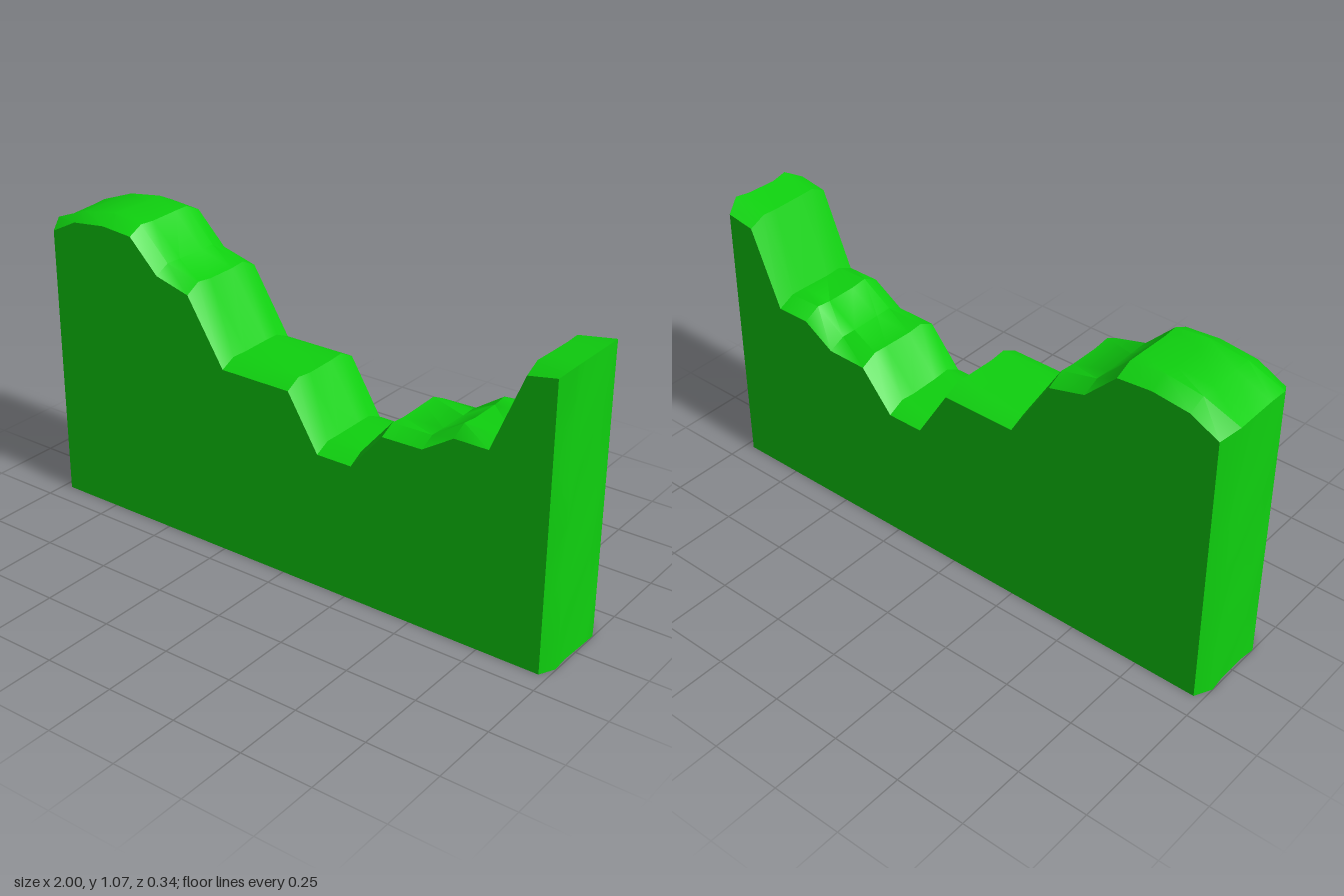
import * as THREE from 'three';
import { toCreasedNormals } from 'three/addons/utils/BufferGeometryUtils.js';

const HALF_DEPTH = 0.17;

// Hedge outline on the flat faces: left side, clipped top, right side
const top = [
  [-0.97, 0.98], [-0.87, 1.03], [-0.74, 1.045], [-0.62, 1.035], [-0.51, 0.925], [-0.38, 0.89],
  [-0.24, 0.667], [-0.1, 0.667], [0.025, 0.667], [0.14, 0.48], [0.27, 0.48], [0.385, 0.617],
  [0.53, 0.62], [0.64, 0.69], [0.76, 0.69], [0.87, 0.957], [0.97, 0.975],
];
const steps = [0, 1, 2, 3, 4, 5];
const outline = [
  ...steps.map((k) => ({ x: -0.97, y: k * 0.98 / 6, dx: -1, dy: 0 })),
  ...top.map(([x, y]) => ({ x, y, dx: Math.abs(x) > 0.96 ? Math.sign(x) : 0, dy: 1 })),
  ...steps.map((k) => ({ x: 0.97, y: (5 - k) * 0.975 / 6, dx: 1, dy: 0 })),
];

// Cross-sections through the depth: z and how far the foliage bulges
const sections = [[HALF_DEPTH, 0], [0.115, 0.03], [0.055, 0.026], [-0.055, 0.027], [-0.11, 0.03], [-HALF_DEPTH, 0]];

function point(i, j) {
  const p = outline[i];
  const [z, bulge] = sections[j];
  const b = bulge * (0.93 + 0.07 * Math.sin(i * 2.3 + j * 1.9));
  return [p.x + p.dx * b, p.y + p.dy * b, z];
}

function shellGeometry() {
  const positions = [], indices = [], n = sections.length;
  for (let i = 0; i < outline.length; i++) {
    for (let j = 0; j < n; j++) {
      positions.push(...point(i, j));
      if (i === outline.length - 1 || j === n - 1) continue;
      const a = i * n + j, b = a + n;
      indices.push(a, b, a + 1, b, b + 1, a + 1);
    }
  }
  const g = new THREE.BufferGeometry();
  g.setAttribute('position', new THREE.Float32BufferAttribute(positions, 3));
  g.setIndex(indices);
  return toCreasedNormals(g, 0.55);
}

const flat = (pts) => new THREE.ShapeGeometry(new THREE.Shape(pts.map(([x, y]) => new THREE.Vector2(x, y))));

export function createModel() {
  const group = new THREE.Group();
  group.name = 'hedge';
  const material = new THREE.MeshStandardMaterial({ color: 0x0fd20f });
  const add = (name, geometry) => {
    const mesh = new THREE.Mesh(geometry, material);
    mesh.name = name;
    group.add(mesh);
  };

  // Bulging top and ends
  add('foliageTopAndEnds', shellGeometry());

  // Flat clipped faces
  add('frontFace', flat(outline.map((p) => [p.x, p.y])).translate(0, 0, HALF_DEPTH));
  add('backFace', flat(outline.map((p) => [-p.x, p.y])).rotateY(Math.PI).translate(0, 0, -HALF_DEPTH));

  // Underside following the bulging ends
  const last = outline.length - 1;
  const rim = [
    ...sections.map((_, j) => point(0, j)),
    ...sections.map((_, j) => point(last, sections.length - 1 - j)),
  ];
  add('underside', flat(rim.map(([x, , z]) => [x, z])).rotateX(Math.PI / 2));

  return group;
}
